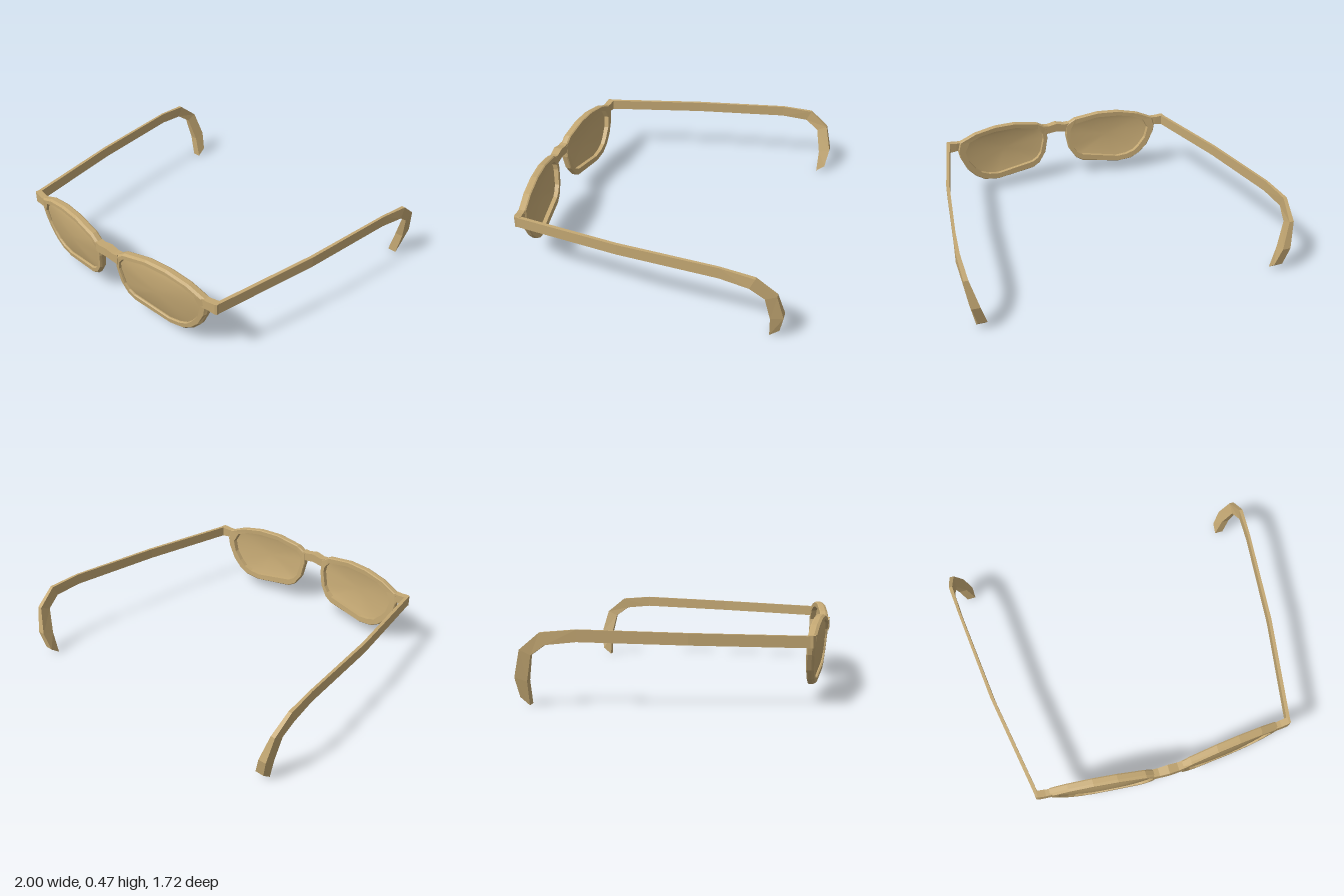
import * as THREE from 'three';
import { mergeVertices } from 'three/addons/utils/BufferGeometryUtils.js';

const frameMat = new THREE.MeshStandardMaterial({ color: 0xc4a873, flatShading: true });
const lensMat = new THREE.MeshStandardMaterial({ color: 0xc4a873, side: THREE.DoubleSide });

// Rim outline and lens opening, paired point by point: [outerX, outerY, innerX, innerY]
const RIM = [
  [0.075, 0.395, 0.105, 0.35], [0.14, 0.435, 0.14, 0.395], [0.31, 0.467, 0.30, 0.433],
  [0.455, 0.467, 0.46, 0.433], [0.605, 0.44, 0.565, 0.417], [0.715, 0.395, 0.645, 0.385],
  [0.73, 0.335, 0.68, 0.32], [0.72, 0.285, 0.66, 0.245], [0.675, 0.19, 0.615, 0.185],
  [0.62, 0.13, 0.575, 0.147], [0.555, 0.09, 0.52, 0.125], [0.455, 0.075, 0.45, 0.115],
  [0.19, 0.107, 0.19, 0.153], [0.14, 0.135, 0.152, 0.175], [0.09, 0.21, 0.125, 0.21],
  [0.07, 0.31, 0.10, 0.31],
];

// Temple stations: [outer x, inner x, top y, top z, bottom y, bottom z]
const TEMPLE = [
  [0.802, 0.78, 0.40, 0.755, 0.335, 0.755],
  [0.915, 0.895, 0.418, 0.1, 0.352, 0.1],
  [0.98, 0.964, 0.435, -0.5, 0.367, -0.5],
  [1.0, 0.978, 0.418, -0.7, 0.35, -0.67],
  [0.99, 0.962, 0.32, -0.82, 0.29, -0.755],
  [0.965, 0.915, 0.16, -0.86, 0.14, -0.787],
  [0.935, 0.88, 0.045, -0.84, 0.0, -0.785],
];

// Front surface of the face frame: wraps back sideways and tilts back at the bottom
const frontZ = (x, y) => {
  const a = Math.abs(x);
  return 0.86 - 0.08 * a - 0.04 * a * a - 0.09 * Math.max(0, 0.4 - y);
};
const depth = (y) => 0.04 + 0.03 * Math.max(0, y - 0.1);

// Skins a row of closed cross-sections; side -1 mirrors the part in x
function loft(sections, { side = 1, ring = false, caps = false } = {}) {
  const n = sections.length, m = sections[0].length;
  const pos = sections.flat().flatMap(([x, y, z]) => [x * side, y, z]);
  const index = [];
  const tri = (a, b, c) => (side > 0 ? index.push(a, b, c) : index.push(a, c, b));
  for (let i = 0; i < (ring ? n : n - 1); i++) {
    for (let j = 0; j < m; j++) {
      const i2 = (i + 1) % n, j2 = (j + 1) % m;
      const a = i * m + j, b = i2 * m + j, c = i2 * m + j2, d = i * m + j2;
      tri(a, d, c);
      tri(a, c, b);
    }
  }
  if (caps) {
    const e = (n - 1) * m;
    for (let j = 1; j < m - 1; j++) {
      tri(0, j + 1, j);
      tri(e, e + j, e + j + 1);
    }
  }
  let geo = new THREE.BufferGeometry();
  geo.setAttribute('position', new THREE.Float32BufferAttribute(pos, 3));
  geo.setIndex(index);
  geo = mergeVertices(geo);
  geo.computeVertexNormals();
  return geo;
}

function add(parent, name, geo, mat = frameMat) {
  const mesh = new THREE.Mesh(geo, mat);
  mesh.name = name;
  parent.add(mesh);
}

// Rim: bevelled profile carried around the outline
function rimSections() {
  return RIM.map(([ox, oy, ix, iy]) => {
    const at = (t, back) => {
      const x = ox + (ix - ox) * t, y = oy + (iy - oy) * t;
      return [x, y, frontZ(x, y) - back * depth(y)];
    };
    return [at(0.12, 1), at(0, 0.85), at(0, 0.3), at(0.25, 0), at(0.9, 0), at(1, 0.2), at(1, 1)];
  });
}

// Lens: rings shrinking to the centre, gently domed forward
function lensSections() {
  const cx = 0.39, cy = 0.28;
  return [0, 0.25, 0.5, 0.75, 0.9, 1].map((k) => RIM.map(([, , ix, iy]) => {
    const x = cx + (ix - cx) * k, y = cy + (iy - cy) * k;
    return [x, y, frontZ(x, y) - 0.014 + 0.018 * (1 - k * k)];
  }));
}

// Cross-section of a bar running in x
const barSection = (x, top, bottom, back, front) => [
  [x, top, back], [x, top, front], [x, bottom, front], [x, bottom, back],
];

export function createModel() {
  const group = new THREE.Group();
  group.name = 'eyeglasses';

  // Arched nose bridge
  const bridge = [-0.095, -0.06, 0, 0.06, 0.095].map((x) => {
    const a = Math.abs(x);
    const top = a > 0.08 ? 0.405 : 0.413 - a * 0.2;
    const bottom = 0.355 - a * 0.15;
    return barSection(x, top, bottom, 0.805, frontZ(x, 0.4));
  });
  add(group, 'bridge', loft(bridge, { caps: true }));

  for (const [label, side] of [['left', 1], ['right', -1]]) {
    add(group, label + 'Rim', loft(rimSections(), { side, ring: true }));
    add(group, label + 'Lens', loft(lensSections(), { side }), lensMat);

    // End piece joining rim and temple
    const hinge = [
      barSection(0.685, 0.395, 0.335, 0.745, 0.78),
      barSection(0.74, 0.395, 0.34, 0.735, 0.777),
      barSection(0.79, 0.402, 0.335, 0.73, 0.772),
      barSection(0.803, 0.402, 0.335, 0.735, 0.765),
    ];
    add(group, label + 'Hinge', loft(hinge, { side, caps: true }));

    // Temple arm with the hooked ear end
    const temple = TEMPLE.map(([xo, xi, ty, tz, by, bz]) => [
      [xi, ty, tz], [xo, ty, tz], [xo, by, bz], [xi, by, bz],
    ]);
    add(group, label + 'Temple', loft(temple, { side, caps: true }));
  }
  return group;
}
